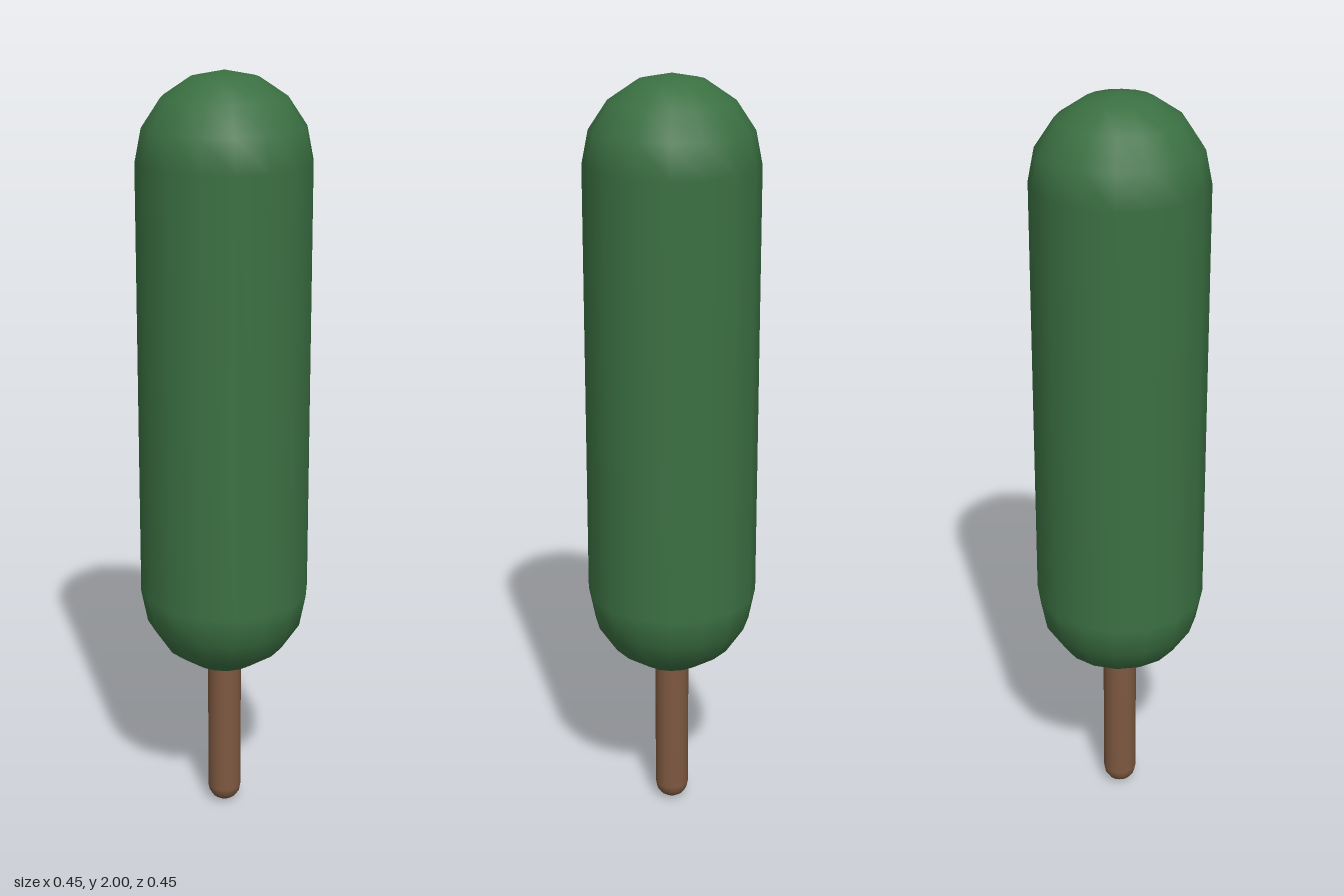
import * as THREE from 'three';

export function createModel() {
  const group = new THREE.Group();
  const foliageGreen = new THREE.MeshStandardMaterial({ color: 0x3b7042 });
  foliageGreen.name = 'foliage green';
  const barkBrown = new THREE.MeshStandardMaterial({ color: 0x7d5840 });
  barkBrown.name = 'bark brown';

  // Upright capsule spanning bottom to top
  function addCapsule(name, radius, bottom, top, material) {
    const geometry = new THREE.CapsuleGeometry(radius, top - bottom - 2 * radius, 4, 16);
    const mesh = new THREE.Mesh(geometry, material);
    mesh.name = name;
    mesh.position.y = (bottom + top) / 2;
    group.add(mesh);
  }

  // Tall rounded crown on a thin trunk whose upper end is hidden inside it
  addCapsule('foliage', 0.224, 0.41, 2, foliageGreen);
  addCapsule('trunk', 0.045, 0, 0.56, barkBrown);

  return group;
}
